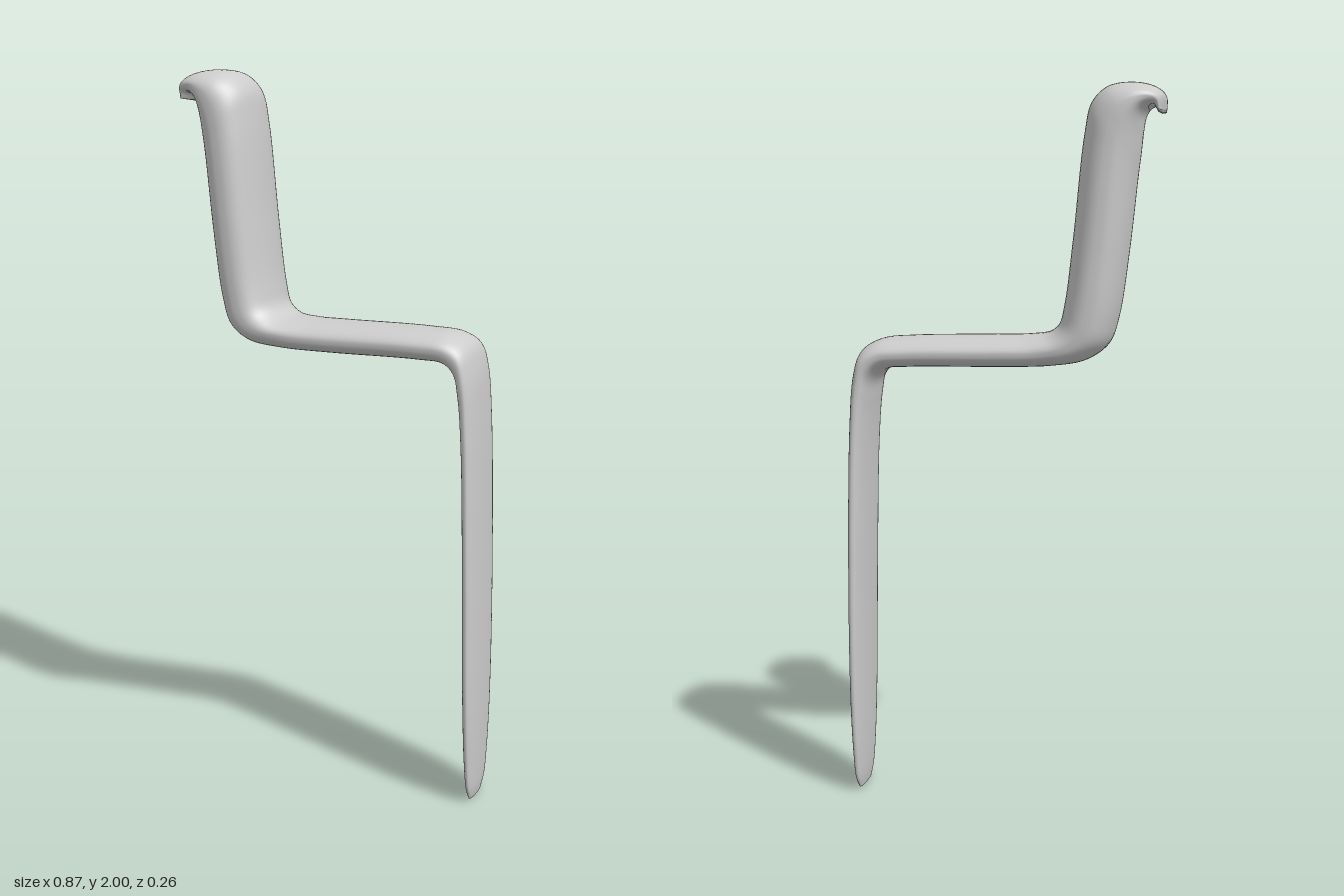
import * as THREE from 'three';

// Stations along the bent bar: crown x, y | inner side x, y | z min, z max
const STATIONS = [
  // hooked lip
  [-0.437, 1.925, -0.425, 1.92, -0.08, 0.08],
  [-0.437, 1.965, -0.412, 1.935, -0.095, 0.095],
  [-0.415, 1.986, -0.395, 1.93, -0.107, 0.107],
  [-0.36, 1.999, -0.383, 1.91, -0.12, 0.12],
  [-0.29, 1.99, -0.378, 1.87, -0.128, 0.128],
  // handle
  [-0.247, 1.95, -0.374, 1.82, -0.13, 0.13],
  [-0.228, 1.87, -0.367, 1.76, -0.13, 0.13],
  [-0.2, 1.6, -0.345, 1.55, -0.13, 0.13],
  [-0.178, 1.42, -0.32, 1.38, -0.13, 0.13],
  // lower bend
  [-0.163, 1.365, -0.295, 1.31, -0.128, 0.131],
  [-0.135, 1.342, -0.24, 1.268, -0.125, 0.13],
  [-0.08, 1.333, -0.15, 1.25, -0.12, 0.117],
  // crossbar
  [0.0, 1.33, 0.0, 1.243, -0.12, 0.108],
  [0.25, 1.323, 0.25, 1.238, -0.128, 0.098],
  // upper bend
  [0.34, 1.313, 0.32, 1.23, -0.131, 0.094],
  [0.385, 1.285, 0.348, 1.2, -0.133, 0.091],
  [0.405, 1.23, 0.36, 1.14, -0.133, 0.09],
  // blade
  [0.417, 1.1, 0.372, 1.0, -0.133, 0.091],
  [0.428, 0.7, 0.383, 0.65, -0.133, 0.092],
  [0.431, 0.3, 0.389, 0.3, -0.124, 0.085],
  [0.428, 0.12, 0.393, 0.12, -0.107, 0.067],
  [0.424, 0.04, 0.398, 0.04, -0.09, 0.052],
  [0.418, 0.006, 0.403, 0.006, -0.068, 0.032],
];

// Sweeps a rounded section, domed on the crown and flatter inside
function sweep(stations, steps, sides) {
  const curve = (f) => new THREE.CatmullRomCurve3(stations.map(f));
  const crown = curve((s) => new THREE.Vector3(s[0], s[1], s[4]));
  const inner = curve((s) => new THREE.Vector3(s[2], s[3], s[5]));
  const pos = [], index = [];
  for (let i = 0; i <= steps; i++) {
    const o = crown.getPoint(i / steps), n = inner.getPoint(i / steps);
    const mid = o.clone().add(n).multiplyScalar(0.5);
    const half = o.clone().sub(n).multiplyScalar(0.5);
    for (let j = 0; j < sides; j++) {
      const t = (j / sides) * Math.PI * 2;
      const c = Math.cos(t), s = Math.sin(t);
      const d = c < 0 ? -Math.pow(-c, 0.75) : c;
      const w = Math.sign(s) * Math.pow(Math.abs(s), 0.9);
      pos.push(mid.x + half.x * d, mid.y + half.y * d, mid.z - half.z * w);
    }
  }
  // half.z is negative, so the ring runs from the crown towards +z
  for (let i = 0; i < steps; i++) {
    for (let j = 0; j < sides; j++) {
      const k = (j + 1) % sides;
      const a = i * sides + j, b = i * sides + k;
      index.push(a, b, a + sides, b, b + sides, a + sides);
    }
  }
  // rounded-off ends
  const cap = (ring, x, y, z, flip) => {
    const centre = pos.length / 3;
    pos.push(x, y, z);
    for (let j = 0; j < sides; j++) {
      const a = ring * sides + j, b = ring * sides + ((j + 1) % sides);
      if (flip) index.push(centre, b, a);
      else index.push(centre, a, b);
    }
  };
  cap(0, -0.43, 1.917, 0, true);
  cap(steps, 0.41, 0, -0.018, false);

  const geo = new THREE.BufferGeometry();
  geo.setAttribute('position', new THREE.Float32BufferAttribute(pos, 3));
  geo.setIndex(index);
  geo.computeVertexNormals();
  return geo;
}

export function createModel() {
  const group = new THREE.Group();
  group.name = 'bentBladeTool';
  const bar = new THREE.Mesh(
    sweep(STATIONS, 176, 48),
    new THREE.MeshStandardMaterial({ color: 0xcccccc })
  );
  bar.name = 'hookedHandleAndBlade';
  group.add(bar);
  return group;
}
